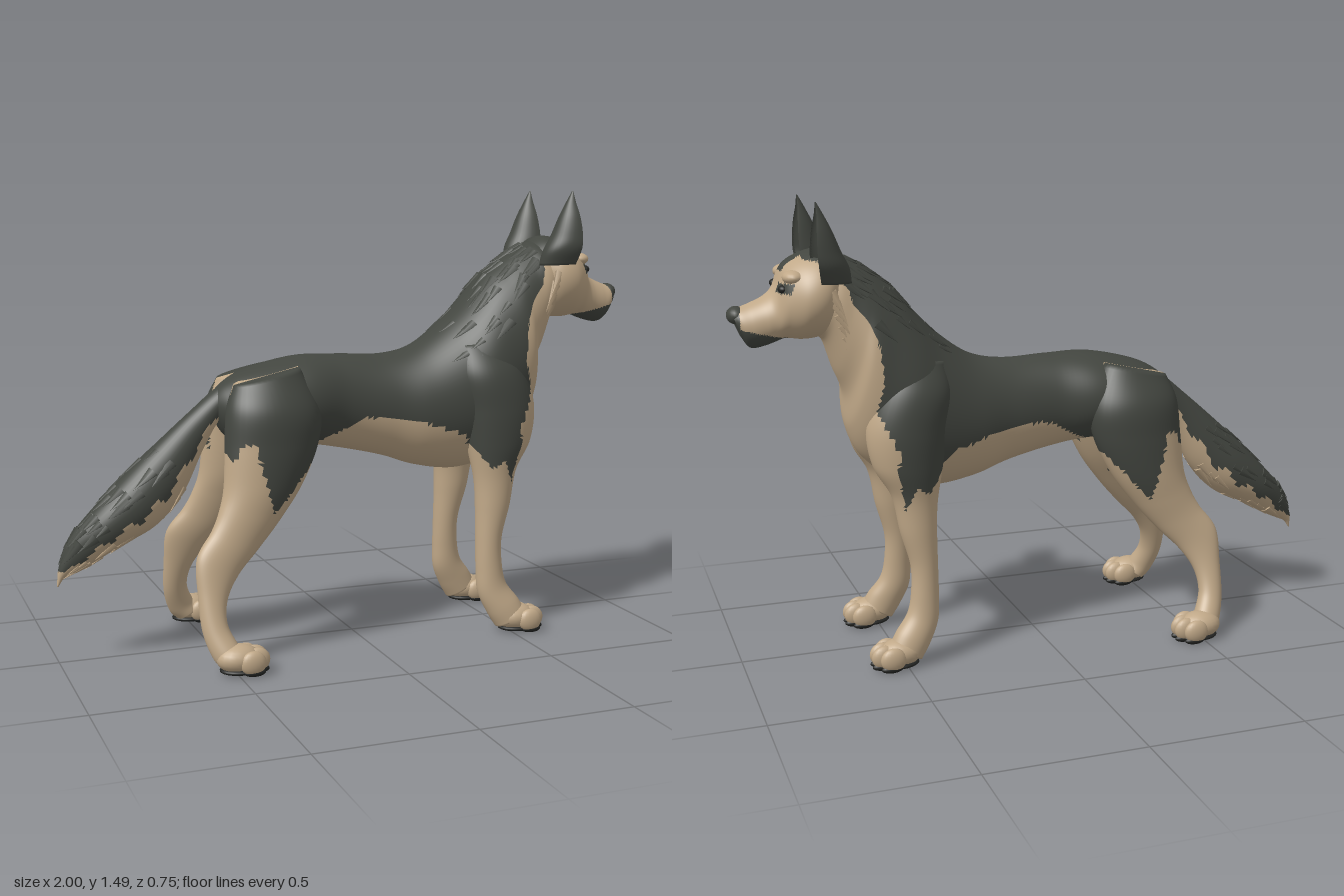
import * as THREE from 'three';

const mat = (name, color) => {
  const m = new THREE.MeshStandardMaterial({ color });
  m.name = name;
  return m;
};
const tan = mat('tan fur', 0xc0a888);
const dark = mat('dark fur', 0x434640);
const black = mat('black skin', 0x242523);

// Small seeded random generator
let seed = 7;
const rand = () => (seed = (seed * 16807) % 2147483647) / 2147483647;

// Side outline of the dark saddle as x, y pairs
const saddleShape = [
  [-0.6, 1.2], [-0.6, 0.72], [-0.5, 0.7], [-0.465, 0.64], [-0.44, 0.7], [-0.4, 0.7], [-0.38, 0.6],
  [-0.345, 0.48], [-0.3, 0.52], [-0.26, 0.57], [-0.15, 0.68], [0, 0.755], [0.17, 0.74], [0.33, 0.69],
  [0.38, 0.62], [0.42, 0.57], [0.46, 0.6], [0.495, 0.52], [0.52, 0.66], [0.515, 0.71], [0.575, 0.84],
  [0.55, 0.93], [0.56, 1.04], [0.585, 1.12], [0.63, 1.17], [0.66, 1.28], [0.7, 1.3], [0.77, 1.31], [0.77, 1.6],
];
function inSaddle(x, y) {
  let inside = false;
  saddleShape.forEach(([ax, ay], i) => {
    const [bx, by] = saddleShape[(i + 1) % saddleShape.length];
    if (ay > y !== by > y && x < ((bx - ax) * (y - ay)) / (by - ay) + ax) inside = !inside;
  });
  return inside;
}

// Sections are [px, py, qx, qy, z, halfWidth]: two opposite profile points and the width across.
// The sampler gives a surface point for u along the part and angle t around it.
function sampler(sections, side = 1, scoop = 1) {
  const a = new THREE.CatmullRomCurve3(sections.map((s) => new THREE.Vector3(s[0], s[1], s[4])), false, 'catmullrom');
  const b = new THREE.CatmullRomCurve3(sections.map((s) => new THREE.Vector3(s[2], s[3], s[5])), false, 'catmullrom');
  return (u, t) => {
    const p = a.getPoint(u), q = b.getPoint(u);
    const c = Math.cos(t) * (Math.cos(t) > 0 ? scoop : 1);
    return new THREE.Vector3(
      (p.x + q.x) / 2 + (c * (p.x - q.x)) / 2,
      (p.y + q.y) / 2 + (c * (p.y - q.y)) / 2,
      side * (p.z + Math.sin(t) * Math.max(q.z, 0.002)));
  };
}

// Closed smooth skin; isDark(x, y, |z|, cosAngle) picks the fur colour of each face
function loft(name, sections, rings, segs, isDark, side = 1, scoop = 1) {
  const at = sampler(sections, side, scoop);
  const pts = [], faces = [];
  for (let i = 0; i <= rings; i++)
    for (let j = 0; j < segs; j++) pts.push(at(i / rings, (j / segs) * Math.PI * 2));
  for (let i = 0; i < rings; i++)
    for (let j = 0; j < segs; j++) {
      const k = (j + 1) % segs, A = i * segs + j, B = i * segs + k;
      faces.push([A, B, A + segs, j], [B, B + segs, A + segs, j]);
    }
  for (const i of [0, rings]) {
    const mid = pts.push(at(i / rings, 0).add(at(i / rings, Math.PI)).multiplyScalar(0.5)) - 1;
    for (let j = 0; j < segs; j++) {
      const A = i * segs + j, B = i * segs + ((j + 1) % segs);
      faces.push(i ? [A, B, mid, j] : [B, A, mid, j]);
    }
  }
  // Turn the faces outwards whatever way the part runs
  let volume = 0;
  const v = new THREE.Vector3();
  for (const [p, q, r] of faces) volume += pts[p].dot(v.crossVectors(pts[q], pts[r]));
  const index = [[], []];
  for (const [p, q, r, j] of faces) {
    v.copy(pts[p]).add(pts[q]).add(pts[r]).divideScalar(3);
    const d = isDark(v.x, v.y, Math.abs(v.z), Math.cos(((j + 0.5) / segs) * Math.PI * 2)) ? 1 : 0;
    index[d].push(p, ...(volume > 0 ? [q, r] : [r, q]));
  }
  const g = new THREE.BufferGeometry().setFromPoints(pts);
  g.setIndex([...index[0], ...index[1]]);
  g.addGroup(0, index[0].length, 0);
  g.addGroup(index[0].length, index[1].length, 1);
  g.computeVertexNormals();
  const mesh = new THREE.Mesh(g, [tan, dark]);
  mesh.name = name;
  return mesh;
}

const ball = new THREE.SphereGeometry(1, 20, 14);
function blob(name, material, pos, size) {
  const m = new THREE.Mesh(ball, material);
  m.name = name;
  m.position.set(...pos);
  m.scale.set(...size);
  return m;
}

// Flat pointed lock of fur lying along a direction
const lock = new THREE.ConeGeometry(0.018, 0.075, 6);
function tuft(material, pos, dir, out, scale = 1) {
  const m = new THREE.Mesh(lock, material);
  m.name = 'furTuft';
  const y = dir.clone().normalize();
  const x = new THREE.Vector3().crossVectors(y, out).normalize();
  const z = new THREE.Vector3().crossVectors(x, y);
  m.quaternion.setFromRotationMatrix(new THREE.Matrix4().makeBasis(x, y, z));
  m.scale.set(scale, scale, scale * 0.45);
  m.position.copy(pos);
  return m;
}
function tufts(group, sections, count, u0, u1, spread, flow, material) {
  const at = sampler(sections);
  for (let i = 0; i < count; i++) {
    const u = u0 + (u1 - u0) * rand(), t = (rand() * 2 - 1) * spread;
    const p = at(u, t);
    const out = p.clone().sub(at(u, 0).add(at(u, Math.PI)).multiplyScalar(0.5)).normalize();
    const dir = at(u + 0.01, t).sub(at(u - 0.01, t)).normalize().multiplyScalar(flow).addScaledVector(out, 0.12);
    group.add(tuft(material, p, dir, out, 0.7 + rand() * 0.5));
  }
}

const bodySections = [
  [-0.5, 0.82, -0.48, 0.76, 0, 0.03], [-0.45, 0.875, -0.44, 0.7, 0, 0.09], [-0.36, 0.92, -0.36, 0.66, 0, 0.16],
  [-0.2, 0.955, -0.18, 0.66, 0, 0.165], [-0.05, 0.955, -0.05, 0.64, 0, 0.135], [0.1, 0.95, 0.1, 0.605, 0, 0.145],
  [0.22, 0.975, 0.22, 0.565, 0, 0.175], [0.33, 1.05, 0.36, 0.545, 0, 0.2], [0.41, 1.13, 0.48, 0.575, 0, 0.215],
  [0.47, 1.2, 0.59, 0.66, 0, 0.205], [0.52, 1.24, 0.635, 0.76, 0, 0.195], [0.56, 1.27, 0.64, 0.87, 0, 0.175],
  [0.6, 1.295, 0.67, 0.95, 0, 0.16], [0.645, 1.315, 0.7, 1.04, 0, 0.15], [0.7, 1.32, 0.73, 1.07, 0, 0.13],
  [0.74, 1.3, 0.75, 1.1, 0, 0.09],
];
const headSections = [
  [0.63, 1.3, 0.68, 1.08, 0, 0.12], [0.69, 1.335, 0.72, 1.06, 0, 0.165], [0.76, 1.325, 0.77, 1.055, 0, 0.165],
  [0.82, 1.29, 0.82, 1.06, 0, 0.125], [0.85, 1.225, 0.85, 1.05, 0, 0.092], [0.88, 1.195, 0.88, 1.04, 0, 0.079],
  [0.93, 1.172, 0.915, 1.033, 0, 0.07], [0.965, 1.16, 0.935, 1.04, 0, 0.062], [0.985, 1.15, 0.955, 1.07, 0, 0.045],
];
const tailSections = [
  [-0.36, 0.91, -0.4, 0.8, 0, 0.05], [-0.46, 0.865, -0.46, 0.76, 0, 0.05], [-0.56, 0.785, -0.52, 0.66, 0, 0.055],
  [-0.67, 0.69, -0.59, 0.52, 0, 0.075], [-0.78, 0.59, -0.68, 0.425, 0, 0.09], [-0.88, 0.49, -0.8, 0.365, 0, 0.08],
  [-0.95, 0.41, -0.9, 0.31, 0, 0.05], [-0.99, 0.32, -0.97, 0.28, 0, 0.02], [-1, 0.25, -0.995, 0.25, 0, 0.003],
];
const frontLegSections = [
  [0.5, 1, 0.34, 0.98, 0.13, 0.04], [0.56, 0.9, 0.32, 0.88, 0.14, 0.09], [0.6, 0.78, 0.34, 0.76, 0.145, 0.1],
  [0.585, 0.66, 0.36, 0.64, 0.155, 0.085], [0.53, 0.56, 0.38, 0.53, 0.165, 0.06], [0.505, 0.44, 0.385, 0.43, 0.17, 0.053],
  [0.475, 0.33, 0.385, 0.32, 0.175, 0.045], [0.475, 0.24, 0.385, 0.22, 0.18, 0.042], [0.49, 0.17, 0.39, 0.14, 0.185, 0.043],
  [0.53, 0.115, 0.42, 0.07, 0.195, 0.048], [0.55, 0.08, 0.45, 0.02, 0.2, 0.05],
];
const hindLegSections = [
  [-0.22, 0.93, -0.44, 0.88, 0.1, 0.06], [-0.16, 0.8, -0.47, 0.8, 0.12, 0.1], [-0.17, 0.69, -0.48, 0.68, 0.135, 0.095],
  [-0.23, 0.56, -0.49, 0.56, 0.15, 0.08], [-0.31, 0.45, -0.51, 0.49, 0.165, 0.06], [-0.39, 0.36, -0.54, 0.43, 0.18, 0.045],
  [-0.46, 0.29, -0.595, 0.35, 0.2, 0.038], [-0.505, 0.22, -0.6, 0.24, 0.225, 0.036], [-0.515, 0.15, -0.595, 0.13, 0.255, 0.038],
  [-0.49, 0.09, -0.57, 0.05, 0.285, 0.045], [-0.47, 0.06, -0.54, 0.015, 0.295, 0.05],
];
const earSections = [
  [0.84, 1.25, 0.63, 1.24, 0.13, 0.06], [0.85, 1.31, 0.64, 1.29, 0.145, 0.068], [0.83, 1.36, 0.665, 1.34, 0.15, 0.06],
  [0.8, 1.41, 0.69, 1.4, 0.152, 0.043], [0.765, 1.455, 0.715, 1.45, 0.152, 0.02], [0.742, 1.49, 0.736, 1.488, 0.152, 0.003],
];

function paw(name, x, z, side) {
  const g = new THREE.Group();
  g.name = name;
  g.add(blob('instep', tan, [x - 0.02, 0.05, z * side], [0.07, 0.045, 0.055]));
  g.add(blob('pad', black, [x - 0.01, 0.014, z * side], [0.07, 0.014, 0.052]));
  for (let i = 0; i < 4; i++) {
    const off = (i - 1.5) * 0.031, reach = Math.abs(i - 1.5) < 1 ? 0.022 : 0;
    g.add(blob('toe', tan, [x + 0.015 + reach, 0.043, z * side + off], [0.042, 0.039, 0.021]));
    g.add(blob('toePad', black, [x + 0.02 + reach, 0.013, z * side + off], [0.035, 0.013, 0.015]));
  }
  return g;
}

export function createModel() {
  const dog = new THREE.Group();
  dog.name = 'dog';
  dog.add(loft('body', bodySections, 130, 72, (x, y) => inSaddle(x, y)));

  // Head with dark crown, eye marks and muzzle
  dog.add(loft('head', headSections, 90, 72, (x, y, z) =>
    inSaddle(x, y) || x > 0.962 || (x > 0.79 && y < 1.06 + (x - 0.8) * 0.24) ||
    (x < 0.83 && y > 1.27 && z < 0.035) ||
    (x > 0.78 && z > 0.045 && z < 0.125 && Math.abs(y - 1.225) < 0.015)));
  dog.add(blob('nose', dark, [0.967, 1.138, 0], [0.03, 0.028, 0.042]));

  // Tail, pale underneath
  dog.add(loft('tail', tailSections, 90, 40, (x, y, z, c) => c > -0.3 + 0.12 * Math.sin(x * 70) && y > 0.3));

  for (const side of [1, -1]) {
    const label = side > 0 ? 'left' : 'right';
    dog.add(loft(label + 'Ear', earSections, 30, 36, () => true, side, -0.45));
    dog.add(blob(label + 'Brow', tan, [0.8, 1.258, side * 0.085], [0.035, 0.022, 0.045]));
    dog.add(blob(label + 'Eye', black, [0.832, 1.222, side * 0.08], [0.016, 0.013, 0.02]));
    dog.add(loft(label + 'ForeLeg', frontLegSections, 100, 40, (x, y, z) => z > 0.14 && inSaddle(x, y), side));
    dog.add(loft(label + 'HindLeg', hindLegSections, 100, 40, (x, y, z) => z > 0.1 && inSaddle(x, y), side));
    dog.add(paw(label + 'ForePaw', 0.54, 0.203, side), paw(label + 'HindPaw', -0.475, 0.305, side));
    // Cheek and neck ruff
    for (let i = 0; i < 6; i++)
      dog.add(tuft(tan, new THREE.Vector3(0.68 - 0.012 * i, 1.18 - 0.035 * i, side * (0.158 - 0.004 * i)),
        new THREE.Vector3(-0.5, -1, side * 0.15), new THREE.Vector3(0, 0, side), 1.1));
  }

  // Loose fur on the mane and tail
  const fur = new THREE.Group();
  fur.name = 'fur';
  tufts(fur, bodySections, 70, 0.46, 0.82, 1.1, -1, dark);
  tufts(fur, tailSections, 50, 0.35, 0.85, 1.5, 1, dark);
  tufts(fur, tailSections.map(([a, b, c, d, z, w]) => [c, d, a, b, z, w]), 24, 0.4, 0.85, 0.9, 1, tan);
  dog.add(fur);
  return dog;
}
